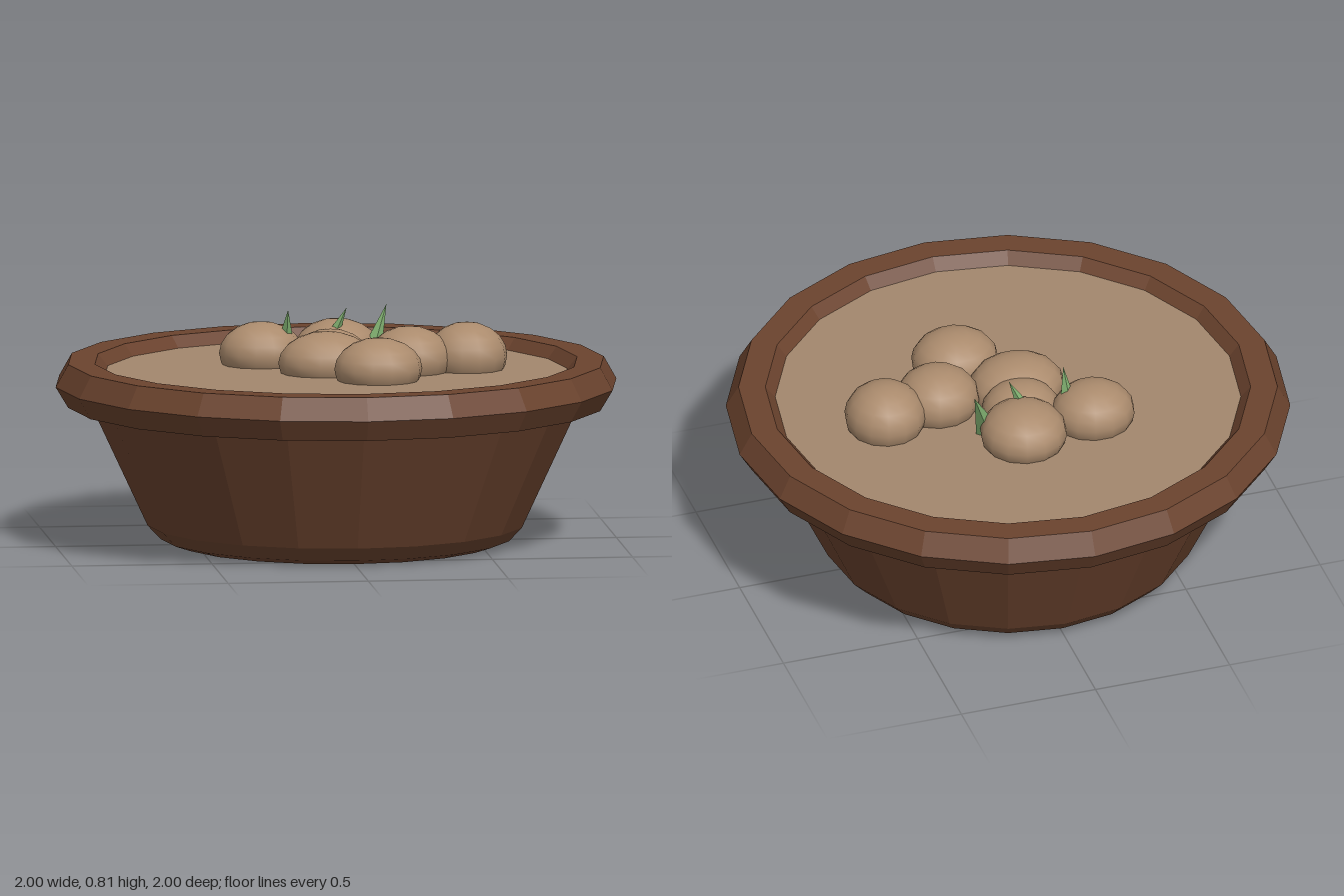
import * as THREE from 'three';

const material = (name, color, extra = {}) => {
  const m = new THREE.MeshStandardMaterial({ color, ...extra });
  m.name = name;
  return m;
};

export function createModel() {
  const group = new THREE.Group();
  group.name = 'bowlOfPotatoes';
  const wood = material('dark wood', 0x6b432e, { flatShading: true });
  const soil = material('tan soil', 0xa3876d, { flatShading: true });
  const skin = material('potato skin', 0xab8b6d);
  const green = material('sprout green', 0x7fae6f, { flatShading: true });
  const SIDES = 20;

  const add = (name, geometry, mat) => {
    const mesh = new THREE.Mesh(geometry, mat);
    mesh.name = name;
    group.add(mesh);
    return mesh;
  };

  // Faceted bowl: underside, flared wall, bevelled rim, inner wall
  const profile = [
    [0, 0], [0.565, 0], [0.625, 0.02], [0.672, 0.07], [0.87, 0.495],
    [0.955, 0.495], [1, 0.57], [0.955, 0.65], [0.86, 0.65], [0.815, 0.595], [0.74, 0.42],
  ].map(([r, y]) => new THREE.Vector2(r, y));
  add('bowl', new THREE.LatheGeometry(profile, SIDES), wood);

  // Filling just below the rim
  const filling = new THREE.CircleGeometry(0.825, SIDES);
  filling.rotateX(-Math.PI / 2);
  add('filling', filling, soil).position.y = 0.608;

  // Heap of potatoes: centre x, y, z and radii x, y, z
  const potatoes = [
    [-0.24, 0.65, -0.235, 0.15, 0.11, 0.14],
    [0.035, 0.65, -0.285, 0.155, 0.11, 0.155],
    [-0.005, 0.64, -0.13, 0.14, 0.105, 0.13],
    [-0.035, 0.645, 0.01, 0.172, 0.11, 0.15],
    [0.26, 0.655, 0.01, 0.15, 0.115, 0.145],
    [0.47, 0.655, -0.037, 0.145, 0.12, 0.147],
    [0.125, 0.65, 0.225, 0.157, 0.11, 0.145],
  ];
  potatoes.forEach(([x, y, z, rx, ry, rz], i) => {
    const mesh = add(`potato${i + 1}`, new THREE.SphereGeometry(1, 14, 10), skin);
    mesh.position.set(x, y, z);
    mesh.scale.set(rx, ry, rz);
  });

  // Pointed sprouts: base, tip and base radius
  const sprouts = [
    [[-0.155, 0.7, -0.205], [-0.152, 0.81, -0.165], 0.026],
    [[0.01, 0.7, -0.215], [0.06, 0.81, -0.195], 0.026],
    [[0.14, 0.62, -0.19], [0.21, 0.812, -0.262], 0.042],
  ];
  const up = new THREE.Vector3(0, 1, 0);
  sprouts.forEach(([base, tip, radius], i) => {
    const a = new THREE.Vector3(...base);
    const axis = new THREE.Vector3(...tip).sub(a);
    const length = axis.length();
    const cone = new THREE.ConeGeometry(radius, length, 4);
    cone.translate(0, length / 2, 0);
    const mesh = add(`sprout${i + 1}`, cone, green);
    mesh.position.copy(a);
    mesh.quaternion.setFromUnitVectors(up, axis.normalize());
  });

  return group;
}
